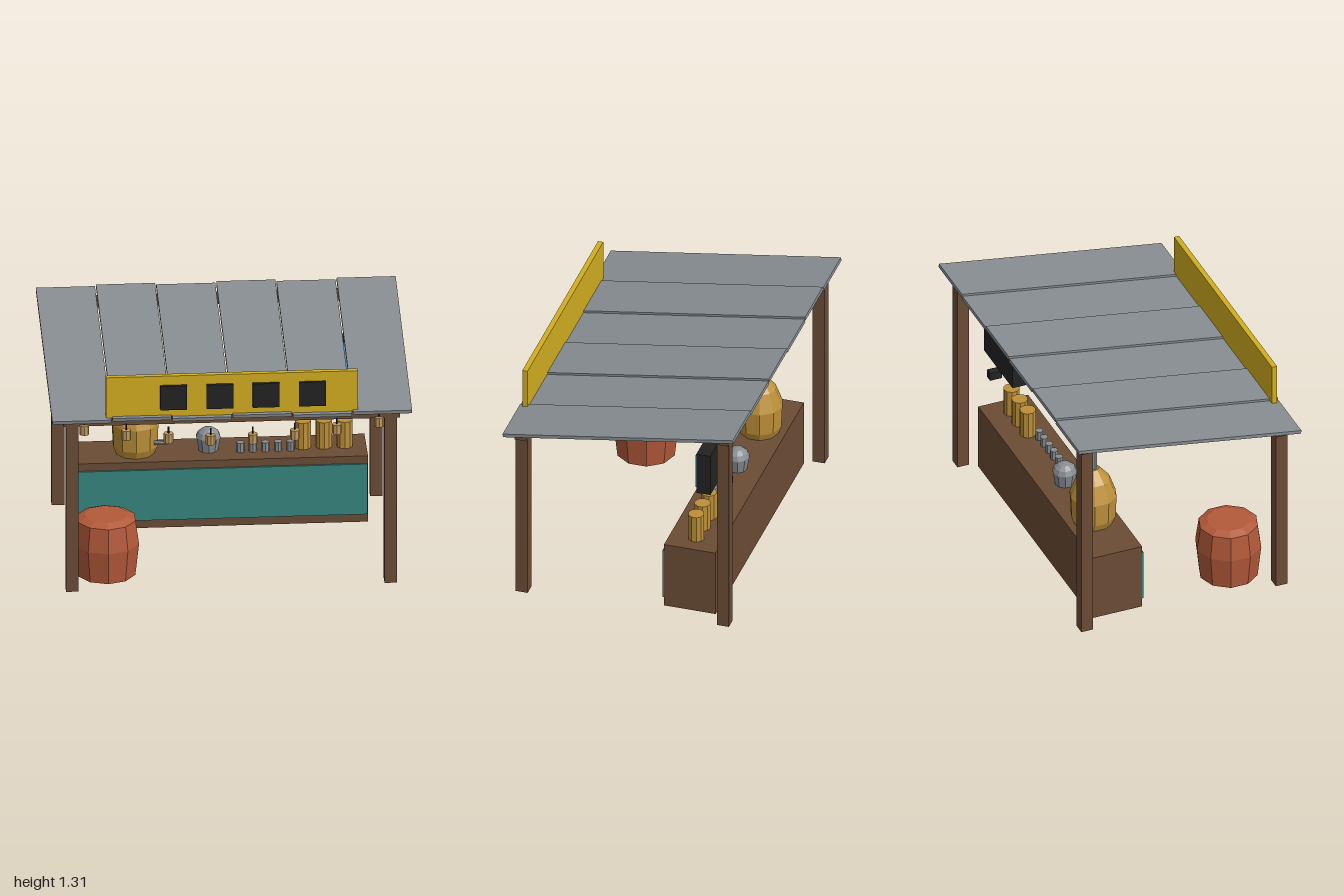
import * as THREE from 'three';

export function createModel() {
  const root = new THREE.Group();
  root.name = 'drinksStall';

  const mat = (name, color) => {
    const m = new THREE.MeshStandardMaterial({ color });
    m.name = name;
    m.flatShading = true;
    return m;
  };
  const wood = mat('brownWood', 0x6b4c35);
  const steel = mat('greySteel', 0x878d91);
  const yellow = mat('yellowPaint', 0xd2ae20);
  const black = mat('black', 0x232323);
  const teal = mat('tealPaint', 0x35857f);
  const blue = mat('blueScreen', 0x66a5d2);
  const clay = mat('redClay', 0xb3593a);
  const copper = mat('copper', 0xbd9038);
  const tan = mat('tanLantern', 0xc29a5e);

  const add = (name, geo, material, x, y, z) => {
    const m = new THREE.Mesh(geo, material);
    m.name = name;
    m.position.set(x, y, z);
    root.add(m);
    return m;
  };
  // box given by its extents
  const box = (name, material, x0, x1, y0, y1, z0, z1) =>
    add(name, new THREE.BoxGeometry(x1 - x0, y1 - y0, z1 - z0), material,
      (x0 + x1) / 2, (y0 + y1) / 2, (z0 + z1) / 2);
  // upright cylinder standing on y0
  const can = (name, material, x, y0, z, r, h, sides) =>
    add(name, new THREE.CylinderGeometry(r, r, h, sides), material, x, y0 + h / 2, z);
  // turned body from [radius, height] pairs
  const lathe = (name, material, x, y, z, sides, profile) =>
    add(name, new THREE.LatheGeometry(profile.map(p => new THREE.Vector2(...p)), sides),
      material, x, y, z);

  // posts and cross beams
  for (const x of [-0.885, 0.885]) {
    box('frontPost', wood, x - 0.035, x + 0.035, 0, 1.05, 0.55, 0.62);
    box('backPost', wood, x - 0.035, x + 0.035, 0, 1.24, -0.62, -0.55);
  }
  box('frontBeam', wood, -0.935, 0.935, 1.005, 1.05, 0.55, 0.62);
  box('backBeam', wood, -0.935, 0.935, 1.195, 1.24, -0.62, -0.55);

  // sloping roof of six sheets, alternately stepped
  for (let i = 0; i < 6; i++) {
    const sheet = add('roofSheet', new THREE.BoxGeometry(0.328, 0.02, 1.355), steel,
      -0.836 + i * 0.3344, 1.157 + (i % 2) * 0.009, 0);
    sheet.rotation.x = 0.157;
  }

  // sign board with four dark panels
  box('signBoard', yellow, -0.7, 0.7, 1.065, 1.31, 0.62, 0.65);
  for (let i = 0; i < 4; i++) {
    const x = -0.325 + i * 0.257;
    box('signPanel', black, x - 0.074, x + 0.074, 1.11, 1.255, 0.65, 0.668);
  }

  // hanging lanterns on a sagging line
  const sag = [0.957, 0.92, 0.893, 0.876];
  for (let i = 0; i < 8; i++) {
    const x = -0.819 + i * 0.234, y = sag[Math.min(i, 7 - i)];
    can('lantern', tan, x, y, 0.618, 0.027, 0.056, 8);
    can('lanternCord', black, x, y + 0.05, 0.618, 0.005, 0.045, 6);
  }

  // counter
  box('counter', wood, -0.815, 0.815, 0, 0.4, -0.51, -0.21);
  box('counterPanel', teal, -0.81, 0.81, 0.05, 0.355, -0.21, -0.199);

  // copper still with chimney and spout
  lathe('still', copper, -0.47, 0.4, -0.36, 10,
    [[0, 0], [0.11, 0], [0.128, 0.045], [0.134, 0.18], [0.095, 0.285], [0.035, 0.355], [0, 0.355]]);
  can('stillChimney', steel, -0.47, 0.74, -0.36, 0.024, 0.38, 8);
  add('stillSpout', new THREE.CylinderGeometry(0.013, 0.013, 0.075, 8), steel, -0.333, 0.48, -0.29)
    .rotation.z = Math.PI / 2;

  // kettle
  lathe('kettle', steel, -0.063, 0.4, -0.36, 10,
    [[0, 0], [0.056, 0], [0.07, 0.08], [0.058, 0.108], [0.032, 0.128], [0, 0.136]]);

  // cups and canisters
  for (let i = 0; i < 5; i++) can('cup', steel, 0.112 + i * 0.07, 0.4, -0.32, 0.023, 0.056, 8);
  for (let i = 0; i < 3; i++) can('canister', copper, 0.463 + i * 0.116, 0.4, -0.36, 0.046, 0.16, 10);

  // television on a bracket
  box('television', black, 0.4, 0.81, 0.773, 1.027, -0.478, -0.397);
  box('televisionScreen', blue, 0.415, 0.79, 0.796, 1.005, -0.397, -0.386);
  box('televisionBracket', black, 0.58, 0.626, 0.726, 0.773, -0.537, -0.465);

  // barrel
  lathe('barrel', clay, -0.68, 0, 0.365, 10,
    [[0, 0], [0.167, 0], [0.188, 0.19], [0.168, 0.33], [0.12, 0.35], [0, 0.35]]);

  return root;
}
